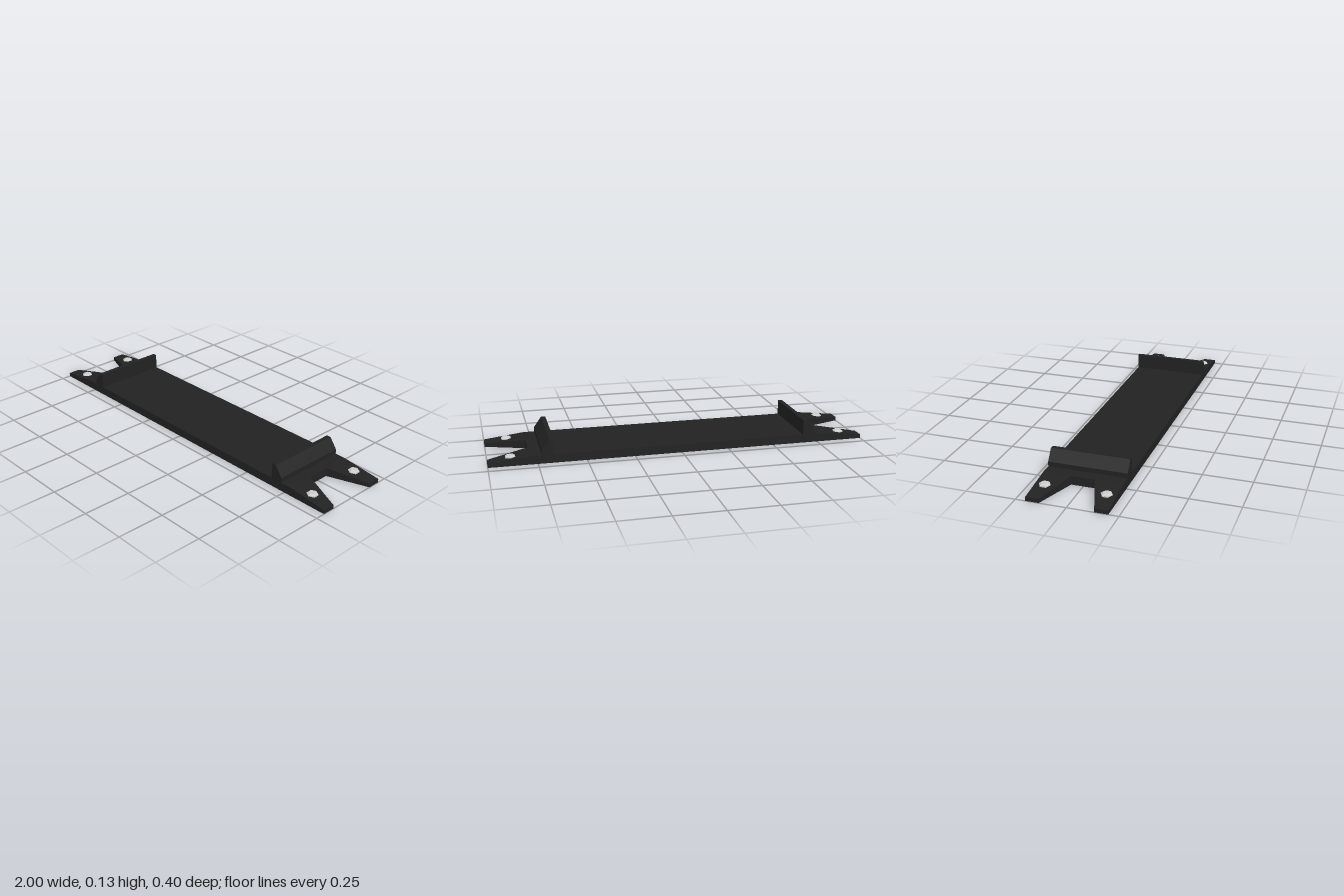
import * as THREE from 'three';

const HALF_DEPTH = 0.2, BASE_TOP = 0.045, TIP_TOP = 0.02, PRONG_START = 0.79;

const dark = new THREE.MeshStandardMaterial({ color: 0x222222, flatShading: true });
const metal = new THREE.MeshStandardMaterial({ color: 0xcccccc, flatShading: true });

const shapeOf = (points) => new THREE.Shape(points.map(([x, y]) => new THREE.Vector2(x, y)));

// Plan outline extruded upwards, its top sloping down to the tip
function prongGeometry(sx, sz) {
  const outline = [[PRONG_START, 0.06], [1, 0.134], [1, HALF_DEPTH], [PRONG_START, HALF_DEPTH]];
  const geometry = new THREE.ExtrudeGeometry(
    shapeOf(outline.map(([x, z]) => [x * sx, -z * sz])),
    { depth: BASE_TOP, bevelEnabled: false }
  ).rotateX(-Math.PI / 2);
  const p = geometry.attributes.position;
  for (let i = 0; i < p.count; i++) {
    if (Math.abs(p.getX(i)) > 0.99 && p.getY(i) > 0.01) p.setY(i, TIP_TOP);
  }
  geometry.computeVertexNormals();
  return geometry;
}

// Upright stop with a chamfered outer side, running the full depth
function stopGeometry(sx) {
  const profile = [[0.667, 0.04], [0.73, 0.04], [0.73, 0.07], [0.69, 0.125], [0.667, 0.125]];
  return new THREE.ExtrudeGeometry(
    shapeOf(profile.map(([x, y]) => [x * sx, y])),
    { depth: 2 * HALF_DEPTH, bevelEnabled: false }
  ).translate(0, 0, -HALF_DEPTH);
}

// Hexagonal bolt with a chamfered head, passing through to the underside
const boltGeometry = new THREE.LatheGeometry(
  [[0, -0.0005], [0.029, -0.0005], [0.029, 0.037], [0.018, 0.045], [0, 0.045]]
    .map(([r, y]) => new THREE.Vector2(r, y)),
  6
);

export function createModel() {
  const group = new THREE.Group();
  group.name = 'basePlateWithStops';
  const add = (name, geometry, material) => {
    const mesh = new THREE.Mesh(geometry, material);
    mesh.name = name;
    group.add(mesh);
    return mesh;
  };

  add('basePlate', new THREE.BoxGeometry(2 * PRONG_START, BASE_TOP, 2 * HALF_DEPTH)
    .translate(0, BASE_TOP / 2, 0), dark);

  for (const sx of [-1, 1]) {
    const side = sx > 0 ? 'left' : 'right';
    add(`${side}Stop`, stopGeometry(sx), dark);
    for (const sz of [-1, 1]) {
      const end = sz > 0 ? 'Front' : 'Back';
      add(`${side}${end}Prong`, prongGeometry(sx, sz), dark);
      add(`${side}${end}Bolt`, boltGeometry, metal).position.set(sx * 0.885, 0, sz * 0.152);
    }
  }
  return group;
}
